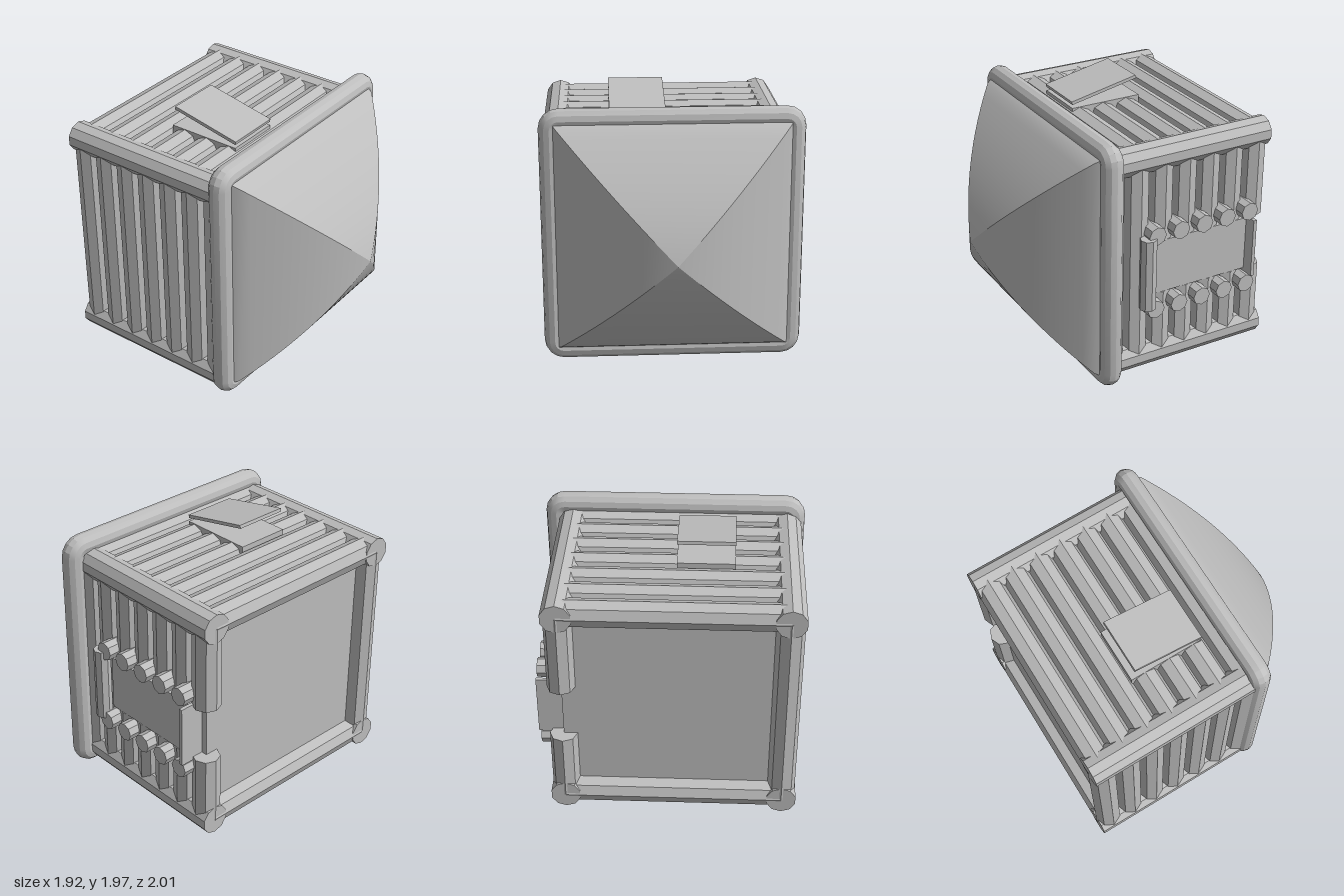
import * as THREE from 'three';
import { toCreasedNormals } from 'three/addons/utils/BufferGeometryUtils.js';

const X0 = -0.825, X1 = 0.75, Y0 = 0.14, Y1 = 1.71; // corner pole centrelines
const CX = (X0 + X1) / 2, CY = (Y0 + Y1) / 2;

export function createModel() {
  const group = new THREE.Group();
  const grey = new THREE.MeshStandardMaterial({ color: 0xbebebe });
  grey.name = 'plain grey';

  const add = (name, geometry, x = 0, y = 0, z = 0, angle = 0.3) => {
    const mesh = new THREE.Mesh(toCreasedNormals(geometry, angle), grey);
    mesh.name = name;
    mesh.position.set(x, y, z);
    group.add(mesh);
    return mesh;
  };
  const box = (name, xa, xb, ya, yb, za, zb) =>
    add(name, new THREE.BoxGeometry(xb - xa, yb - ya, zb - za), (xa + xb) / 2, (ya + yb) / 2, (za + zb) / 2);
  const rod = (r, length, sides, axis) => {
    const g = new THREE.CylinderGeometry(r, r, length, sides);
    if (axis === 'x') g.rotateZ(Math.PI / 2);
    if (axis === 'z') g.rotateX(Math.PI / 2);
    return g;
  };

  // Solid core inside the log walls
  box('core', X0, X1, Y0, Y1, -0.905, 0.33);

  // Corner poles
  for (const x of [X0, X1])
    for (const y of [Y0, Y1]) add('cornerPole', rod(0.11, 1.3, 10, 'z'), x, y, -0.35);

  // Log walls; the doorway interrupts the rear logs of the +x wall
  const doorLow = 0.655, doorHigh = 1.075;
  for (let i = 0; i < 7; i++) {
    const z = -0.905 + 0.195 * i;
    add('roofLog', rod(0.1, X1 - X0, 8, 'x'), CX, Y1, z);
    add('floorLog', rod(0.1, X1 - X0, 8, 'x'), CX, Y0, z);
    add('sideLog', rod(0.1, Y1 - Y0, 8, 'y'), X0, CY, z);
    if (i > 4) {
      add('sideLog', rod(0.1, Y1 - Y0, 8, 'y'), X1, CY, z);
    } else {
      add('lowerDoorLog', rod(0.1, doorLow - Y0, 8, 'y'), X1, (Y0 + doorLow) / 2, z);
      add('upperDoorLog', rod(0.1, Y1 - doorHigh, 8, 'y'), X1, (Y1 + doorHigh) / 2, z);
      // Pegs in the grooves above and below the doorway
      for (const y of [0.57, 1.165]) add('peg', rod(0.07, 0.2, 8, 'x'), 0.82, y, z + 0.1);
    }
  }

  // Doorway: filled panel, front post and thin rear fin
  box('doorPanel', 0.7, 0.84, doorLow, doorHigh, -0.84, -0.01);
  add('doorPost', rod(0.062, 0.56, 8, 'y'), 0.892, 0.87, 0.035);
  box('doorFin', 0.66, 0.935, 0.63, 1.09, -0.86, -0.833);

  // Roof opening and its raised hatch
  box('hatchBase', -0.45, -0.04, 1.7, 1.812, -0.43, 0.13);
  const hatch = add('hatch', new THREE.BoxGeometry(0.41, 0.025, 0.545), -0.245, 1.905, -0.135);
  hatch.rotation.x = 0.2;

  // Front rim: a tube along a rounded square
  const h = 0.88, c = 0.065;
  const path = new THREE.CurvePath();
  const corner = (k) => {
    const turn = (x, y) => new THREE.Vector3(x, y, 0).applyAxisAngle(new THREE.Vector3(0, 0, 1), k * Math.PI / 2);
    const bend = [];
    for (let i = 0; i <= 4; i++) {
      const a = i * Math.PI / 8;
      bend.push(turn(h - c + c * Math.cos(a), h - c + c * Math.sin(a)));
    }
    return bend;
  };
  const loop = [0, 1, 2, 3].flatMap(corner);
  loop.forEach((p, i) => path.add(new THREE.LineCurve3(p, loop[(i + 1) % loop.length])));
  path.closed = true;
  // Sweep the round section along the loop, mitred towards each corner's centre
  const section = 12, pos = [], index = [];
  loop.forEach((p, i) => {
    const a = Math.floor(i / 5) * Math.PI / 2 + (i % 5) * Math.PI / 8;
    for (let j = 0; j < section; j++) {
      const t = j / section * Math.PI * 2, r = 0.08 * Math.cos(t);
      pos.push(p.x + r * Math.cos(a), p.y + r * Math.sin(a), 0.08 * Math.sin(t));
      const n = ((i + 1) % loop.length) * section, m = i * section, k = (j + 1) % section;
      index.push(m + j, n + j, n + k, m + j, n + k, m + k);
    }
  });
  const rim = new THREE.BufferGeometry();
  rim.setAttribute('position', new THREE.Float32BufferAttribute(pos, 3));
  rim.setIndex(index);
  rim.computeVertexNormals();
  add('frontRim', rim, 0, 0.96, 0.33);

  // Bulging four-sided nose
  const profile = [];
  for (let i = 0; i <= 14; i++) {
    const w = 0.9 * (1 - i / 14);
    profile.push(new THREE.Vector2(w * Math.SQRT2, 1 - 0.34 * w - 0.4 * w * w));
  }
  const nose = new THREE.LatheGeometry(profile, 4);
  nose.rotateY(Math.PI / 4).rotateX(Math.PI / 2);
  // Trim the four base corners so they stay within the rim
  const np = nose.attributes.position;
  for (let i = 0; i < np.count; i++) {
    const lim = 0.87;
    np.setX(i, THREE.MathUtils.clamp(np.getX(i), -lim, lim));
    np.setY(i, THREE.MathUtils.clamp(np.getY(i), -lim, lim));
  }
  add('nose', nose, 0, 0.96, 0, 0.35);

  return group;
}
